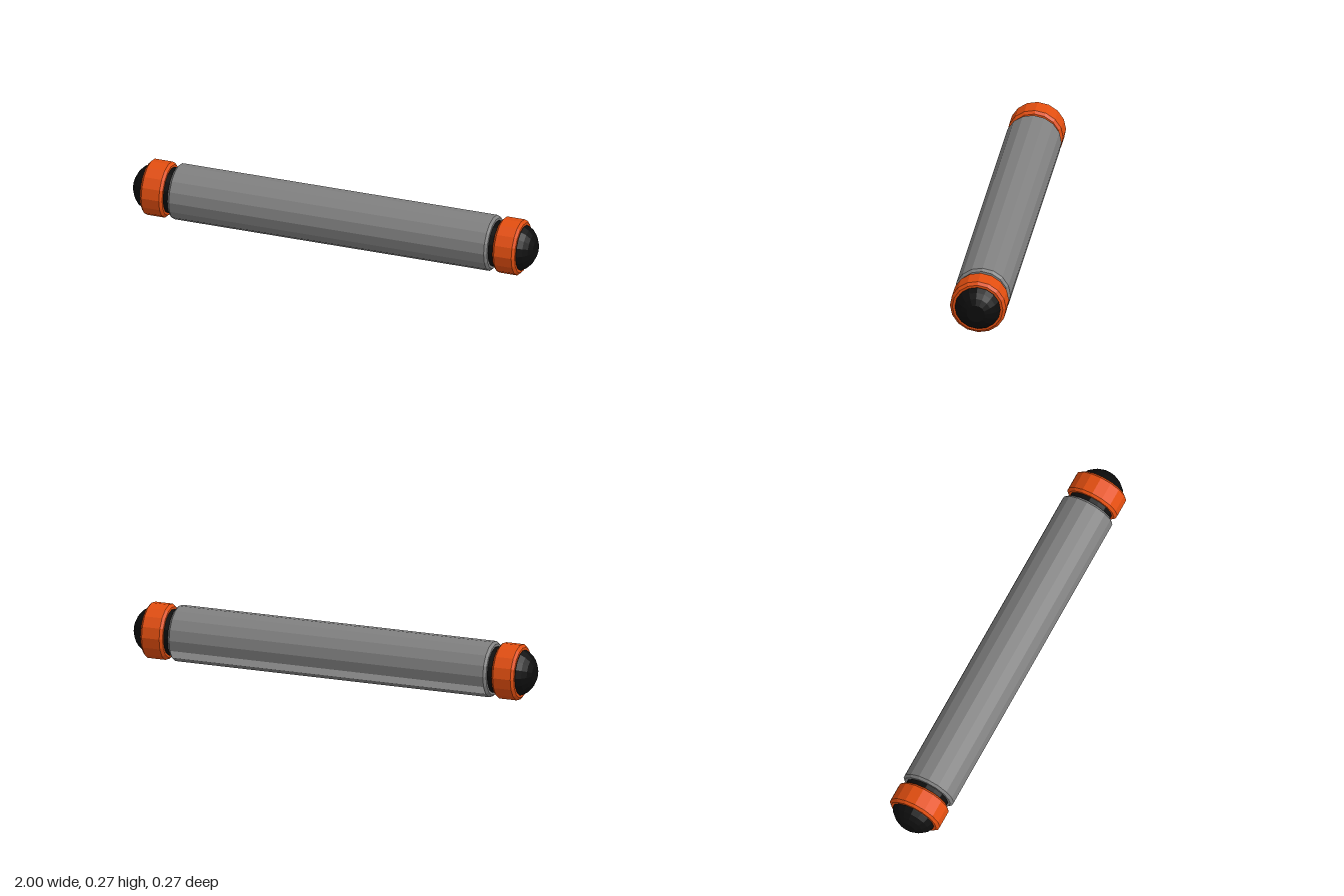
import * as THREE from 'three';

const SIDES = 16;
const AXIS_Y = 0.1335;

const grey = new THREE.MeshStandardMaterial({ color: 0x808080 });
grey.name = 'tube grey';
const orange = new THREE.MeshStandardMaterial({ color: 0xe24e10 });
orange.name = 'ring orange';
const black = new THREE.MeshStandardMaterial({ color: 0x0d0d0d });
black.name = 'rubber black';
const pale = new THREE.MeshStandardMaterial({ color: 0xd8d8d8 });
pale.name = 'strip pale grey';

// Faceted turned part along x; profile is [x, radius] with x ascending
function turned(name, profile, material, segments = SIDES, start = 0, length = Math.PI * 2) {
  const points = profile.map(([x, r]) => new THREE.Vector2(r, x));
  const geometry = new THREE.LatheGeometry(points, segments, start, length)
    .rotateZ(-Math.PI / 2)
    .toNonIndexed();
  geometry.computeVertexNormals();
  const mesh = new THREE.Mesh(geometry, material);
  mesh.name = name;
  return mesh;
}

function createEnd(name) {
  const end = new THREE.Group();
  end.name = name;
  end.add(
    // dark neck between tube and ring
    turned('neck', [[0.78, 0.11], [0.85, 0.11]], black),
    // bevelled ring
    turned('ring', [
      [0.826, 0.108], [0.826, 0.121], [0.838, 0.1335],
      [0.926, 0.1335], [0.938, 0.12], [0.938, 0.108],
    ], orange),
    // domed cap
    turned('cap', [
      [0.92, 0.109], [0.942, 0.108], [0.965, 0.094],
      [0.985, 0.072], [1, 0.043], [1, 0],
    ], black)
  );
  return end;
}

export function createModel() {
  const model = new THREE.Group();
  model.name = 'tube';

  // Main tube with bevelled ends
  model.add(turned('body', [
    [-0.8, 0], [-0.8, 0.122], [-0.788, 0.1335],
    [0.788, 0.1335], [0.8, 0.122], [0.8, 0],
  ], grey));

  // Pale facet on the lower back
  const facet = Math.PI * 2 / SIDES;
  model.add(turned('backStrip', [[-0.786, 0.1342], [0.786, 0.1342]], pale, 1, facet * 6, facet));

  // Matching ends
  const left = createEnd('leftEnd');
  const right = createEnd('rightEnd');
  right.rotation.y = Math.PI;
  model.add(left, right);

  for (const part of model.children) part.position.y = AXIS_Y;
  return model;
}
